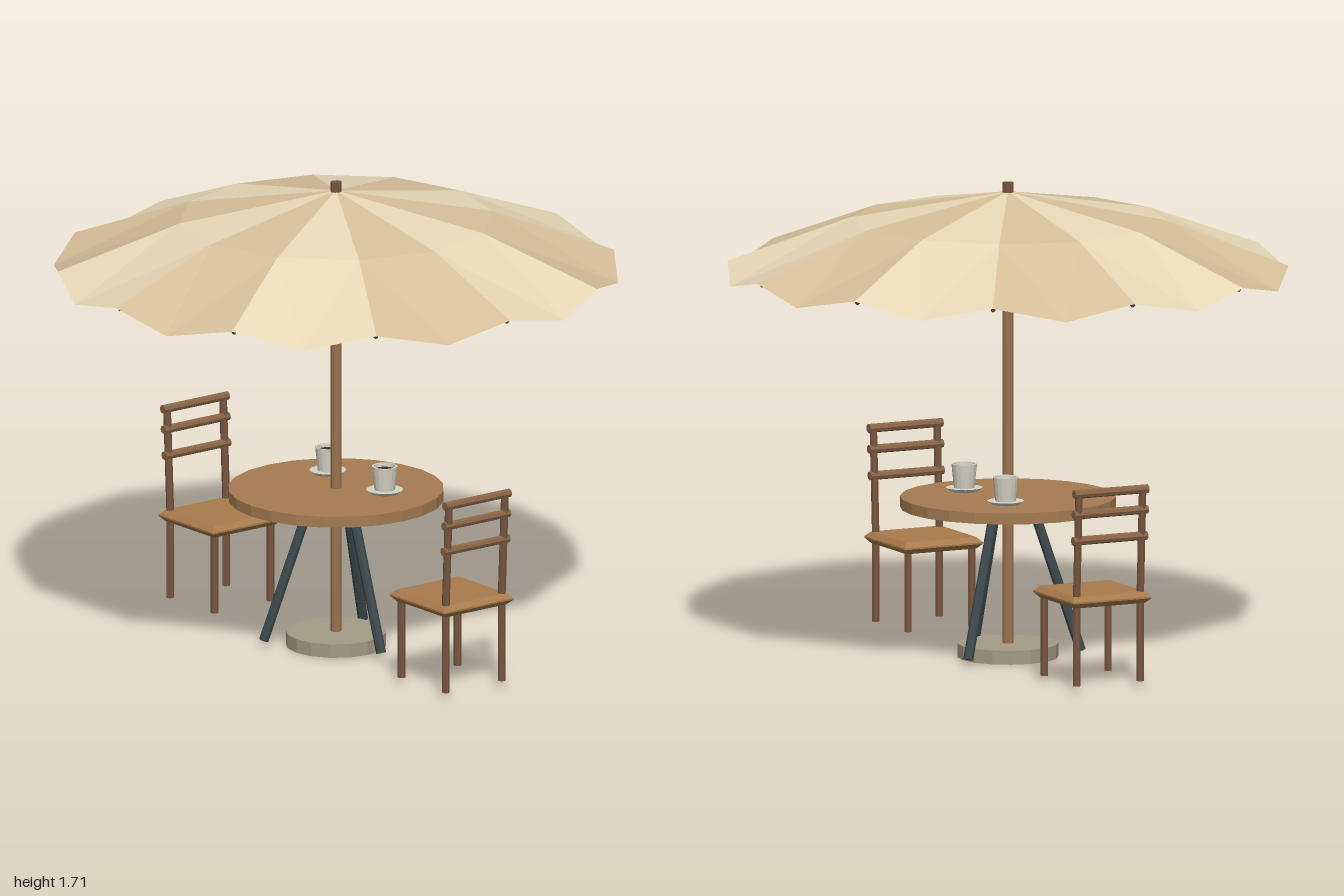
import * as THREE from 'three';

const mat = (color, flat = true) => new THREE.MeshStandardMaterial({ color, flatShading: flat, side: THREE.DoubleSide });
const WOOD = mat(0xa67c52), SEAT = mat(0xa87b4c), DARK_WOOD = mat(0x765640), SLAT = mat(0x8a6547);
const POLE = mat(0x9a7350), METAL = mat(0x3d4a4d), STONE = mat(0xa39b86), CHINA = mat(0xd6d2c6, false);
const COFFEE = mat(0x4a2f1e), LIGHT_CLOTH = mat(0xe6d7b5), TAN_CLOTH = mat(0xd6c09a), RIB = mat(0x5e4634);

function add(parent, name, geometry, material, x = 0, y = 0, z = 0) {
  const mesh = new THREE.Mesh(geometry, material);
  mesh.name = name;
  mesh.position.set(x, y, z);
  parent.add(mesh);
  return mesh;
}

// Round bar between two points
function bar(parent, name, a, b, radius, material, sides = 8) {
  const from = new THREE.Vector3(...a), to = new THREE.Vector3(...b);
  const dir = to.clone().sub(from);
  const mesh = add(parent, name, new THREE.CylinderGeometry(radius, radius, dir.length(), sides), material);
  mesh.position.copy(from).add(to).multiplyScalar(0.5);
  mesh.quaternion.setFromUnitVectors(new THREE.Vector3(0, 1, 0), dir.normalize());
  return mesh;
}

const polar = (r, y, angle) => [r * Math.cos(angle), y, r * Math.sin(angle)];

// Twelve-panel canopy: flat inner triangle, then a steeper outer part with a drooping hem
function makeCanopy() {
  const group = new THREE.Group();
  group.name = 'canopy';
  const step = Math.PI / 6;
  const panels = [[], []];
  for (let k = 0; k < 12; k++) {
    const a = k * step, b = a + step;
    const top = [0, 1.68, 0];
    const a1 = polar(0.565, 1.58, a), b1 = polar(0.565, 1.58, b);
    const a2 = polar(1, 1.42, a), b2 = polar(1, 1.42, b);
    const hem = polar(1.012, 1.37, a + step / 2);
    for (const tri of [[top, b1, a1], [a1, hem, a2], [a1, b1, hem], [b1, b2, hem]]) {
      panels[k % 2].push(...tri.flat());
    }
    // Rib under each seam
    bar(group, 'ribInner', polar(0.02, 1.664, a), polar(0.565, 1.567, a), 0.009, RIB, 6);
    bar(group, 'ribOuter', polar(0.565, 1.567, a), polar(0.985, 1.413, a), 0.009, RIB, 6);
  }
  panels.forEach((points, i) => {
    const geometry = new THREE.BufferGeometry();
    geometry.setAttribute('position', new THREE.Float32BufferAttribute(points, 3));
    geometry.computeVertexNormals();
    add(group, i ? 'lightPanels' : 'tanPanels', geometry, i ? LIGHT_CLOTH : TAN_CLOTH);
  });
  return group;
}

function makeTable() {
  const group = new THREE.Group();
  group.name = 'table';
  add(group, 'tableTop', new THREE.CylinderGeometry(0.385, 0.385, 0.04, 24), WOOD, 0, 0.56, 0);
  for (let i = 0; i < 3; i++) {
    const a = i * Math.PI * 2 / 3;
    bar(group, 'tableLeg', polar(0.085, 0.55, a), polar(0.26, 0.025, a), 0.018, METAL);
  }
  return group;
}

// Chair whose back is on the +x side
function makeChair() {
  const group = new THREE.Group();
  group.name = 'chair';
  const w = 0.139, bevel = 0.018;
  const outline = new THREE.Shape([[-w, -w], [w, -w], [w, w], [-w, w]].map(p => new THREE.Vector2(...p)));
  const seat = new THREE.ExtrudeGeometry(outline, {
    depth: 0.006, bevelEnabled: true, bevelThickness: bevel, bevelSize: bevel, bevelSegments: 1 });
  seat.rotateX(-Math.PI / 2);
  add(group, 'seat', seat, SEAT, 0, 0.32, 0);
  for (const z of [-0.127, 0.127]) {
    bar(group, 'frontLeg', [-0.127, 0.02, z], [-0.127, 0.31, z], 0.014, DARK_WOOD);
    bar(group, 'backLeg', [0.127, 0.02, z], [0.127, 0.31, z], 0.014, DARK_WOOD);
    bar(group, 'backPost', [0.127, 0.33, z], [0.146, 0.72, z], 0.014, DARK_WOOD);
  }
  for (const [y, x] of [[0.545, 0.137], [0.64, 0.142], [0.715, 0.146]]) {
    bar(group, 'backSlat', [x, y, -0.147], [x, y, 0.147], 0.016, SLAT);
  }
  return group;
}

function makeCup() {
  const group = new THREE.Group();
  group.name = 'cupAndSaucer';
  add(group, 'saucer', new THREE.CylinderGeometry(0.066, 0.052, 0.012, 16), CHINA, 0, 0.588, 0).material = mat(0xd6d2c6);
  const profile = [[0, 0.594], [0.037, 0.594], [0.046, 0.68], [0.039, 0.68], [0.036, 0.655]];
  add(group, 'cup', new THREE.LatheGeometry(profile.map(p => new THREE.Vector2(...p)), 16), mat(0xd6d2c6));
  add(group, 'coffee', new THREE.CylinderGeometry(0.038, 0.036, 0.006, 16), COFFEE, 0, 0.664, 0);
  return group;
}

export function createModel() {
  const model = new THREE.Group();
  model.name = 'patioSet';

  // Parasol stand
  add(model, 'parasolBase', new THREE.CylinderGeometry(0.18, 0.18, 0.05, 16), STONE, 0, 0.025, 0);
  add(model, 'pole', new THREE.CylinderGeometry(0.019, 0.019, 1.66, 10), POLE, 0, 0.85, 0);
  add(model, 'poleCap', new THREE.CylinderGeometry(0.02, 0.02, 0.04, 10), DARK_WOOD, 0, 1.692, 0);
  model.add(makeCanopy(), makeTable());

  // Facing pair of chairs, and a cup for each
  for (const side of [1, -1]) {
    const chair = makeChair();
    chair.position.x = side * 0.664;
    chair.rotation.y = side > 0 ? 0 : Math.PI;
    const cup = makeCup();
    cup.position.set(side * 0.163, 0, -0.092);
    model.add(chair, cup);
  }
  return model;
}
